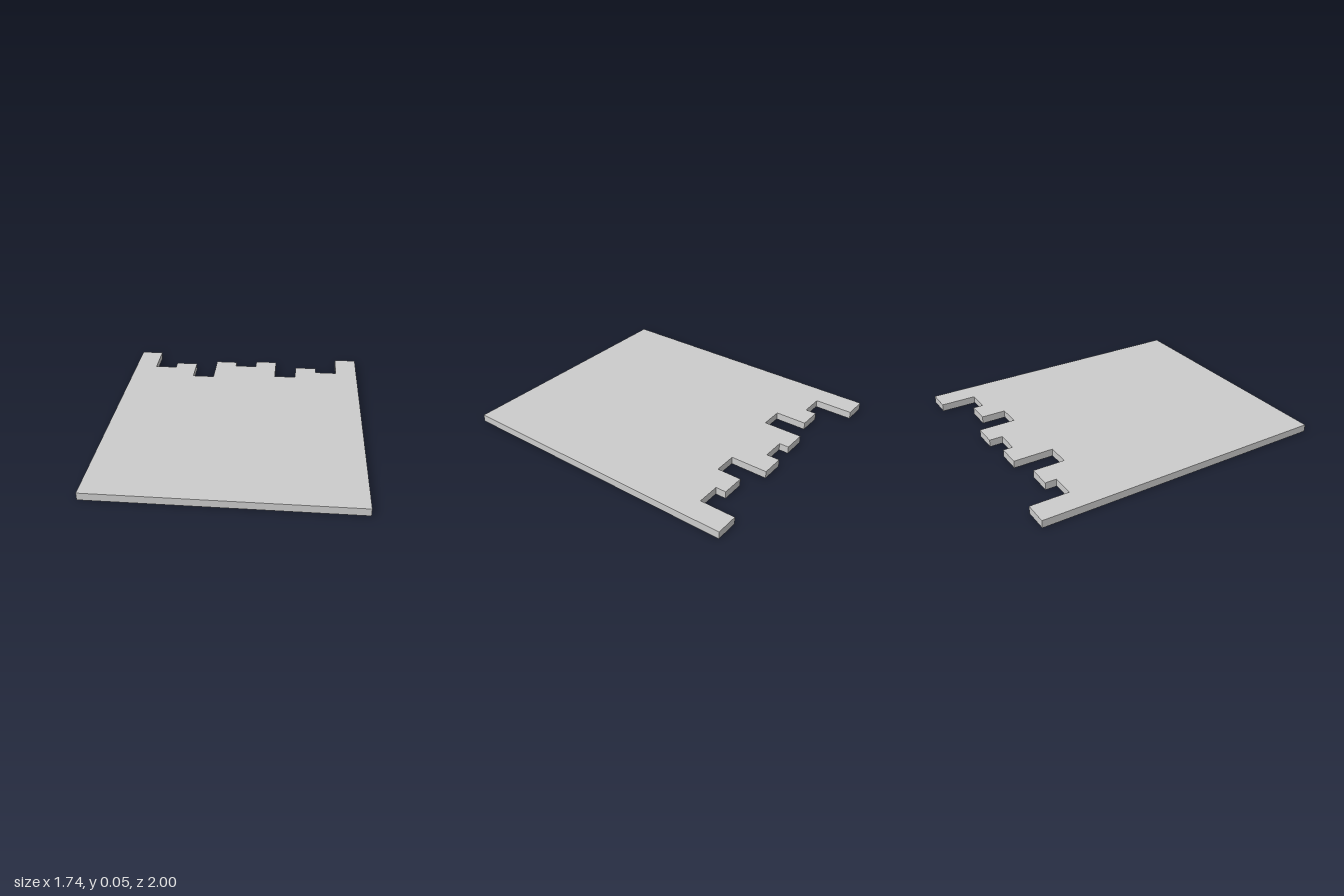
import * as THREE from 'three';

const HALF_WIDTH = 0.87, FRONT = 1, HEIGHT = 0.05;
// How far back each of the equal-width strips of the ragged edge reaches, left to right in x
const REACH = [1, 0.74, 0.815, 0.6, 0.87, 0.805, 0.895, 0.645, 0.81, 0.74, 0.98];

// Outline as (x, -z), counter-clockwise from above
function outline() {
  const points = [new THREE.Vector2(-HALF_WIDTH, -FRONT), new THREE.Vector2(HALF_WIDTH, -FRONT)];
  const step = 2 * HALF_WIDTH / REACH.length;
  for (let i = REACH.length - 1; i >= 0; i--) {
    const x = -HALF_WIDTH + i * step;
    points.push(new THREE.Vector2(x + step, REACH[i]), new THREE.Vector2(x, REACH[i]));
  }
  return points;
}

// Thin wall hanging from the outline, one flat quad per edge
function skirtGeometry(points) {
  const positions = [];
  points.forEach((a, i) => {
    const b = points[(i + 1) % points.length];
    const corners = [[a, 0], [b, 0], [b, HEIGHT], [a, 0], [b, HEIGHT], [a, HEIGHT]];
    for (const [p, y] of corners) positions.push(p.x, y, -p.y);
  });
  const geometry = new THREE.BufferGeometry();
  geometry.setAttribute('position', new THREE.Float32BufferAttribute(positions, 3));
  geometry.computeVertexNormals();
  return geometry;
}

export function createModel() {
  const group = new THREE.Group();
  group.name = 'raggedPanel';
  const material = new THREE.MeshStandardMaterial({ color: 0xcccccc, side: THREE.DoubleSide });
  const points = outline();

  // Flat top sheet; the underside is open
  const top = new THREE.ShapeGeometry(new THREE.Shape(points));
  top.rotateX(-Math.PI / 2).translate(0, HEIGHT, 0);
  const sheet = new THREE.Mesh(top, material);
  sheet.name = 'topSheet';

  // Rim around the whole edge
  const skirt = new THREE.Mesh(skirtGeometry(points), material);
  skirt.name = 'edgeWall';

  group.add(sheet, skirt);
  return group;
}
